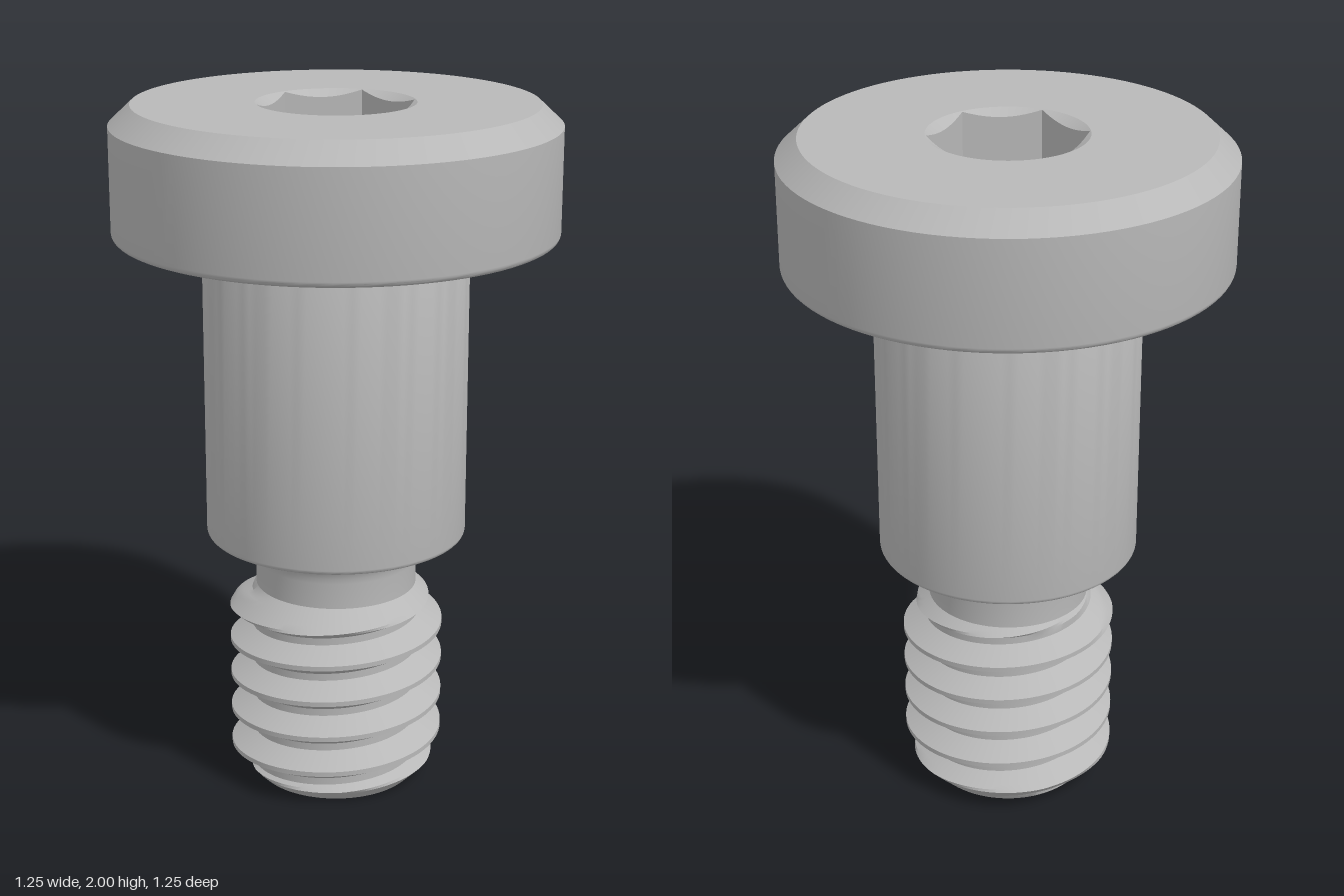
import * as THREE from 'three';
import { toCreasedNormals } from 'three/addons/utils/BufferGeometryUtils.js';

const SEGMENTS = 96;

// Skin swept round the y axis; column(angle) lists [radius, y] and may vary with the angle
function sweep(column, crease = 0.5) {
  const columns = [];
  for (let i = 0; i <= SEGMENTS; i++) {
    const a = (i / SEGMENTS) * Math.PI * 2;
    columns.push(column(a).map(([r, y]) => new THREE.Vector3(r * Math.cos(a), y, -r * Math.sin(a))));
  }
  const positions = [];
  const triangle = (...p) => {
    const area = new THREE.Triangle(...p).getArea();
    if (area > 1e-8) p.forEach((v) => positions.push(v.x, v.y, v.z));
  };
  for (let i = 0; i < SEGMENTS; i++) {
    const left = columns[i], right = columns[i + 1];
    for (let j = 0; j < left.length - 1; j++) {
      triangle(left[j], right[j], right[j + 1]);
      triangle(left[j], right[j + 1], left[j + 1]);
    }
  }
  const geometry = new THREE.BufferGeometry();
  geometry.setAttribute('position', new THREE.Float32BufferAttribute(positions, 3));
  return toCreasedNormals(geometry, crease);
}

// Points on an arc in the profile plane
function arc(cx, cy, radius, from, to, steps = 8) {
  return Array.from({ length: steps + 1 }, (_, i) => {
    const a = from + ((to - from) * i) / steps;
    return [cx + radius * Math.cos(a), cy + radius * Math.sin(a)];
  });
}

export function createModel() {
  const group = new THREE.Group();
  const steel = new THREE.MeshStandardMaterial({ color: 0xb8b8b8 });
  steel.name = 'steel';
  const add = (name, geometry) => {
    const mesh = new THREE.Mesh(geometry, steel);
    mesh.name = name;
    group.add(mesh);
  };
  const { PI } = Math;

  // Helical thread, clipped by a chamfer at each end
  const pitch = 0.1104, crest = 0.311, root = 0.245, threadTop = 0.6, endRadius = 0.233;
  const tooth = [];
  for (let i = 0; i <= 5; i++) tooth.push([root + ((crest - root) * i) / 5, -0.0445 + 0.0075 * i]);
  for (let i = 5; i >= 0; i--) tooth.push([root + ((crest - root) * i) / 5, 0.0445 - 0.0075 * i]);
  add('thread', sweep((a) => {
    const points = [[0, 0]];
    for (let turn = -2; turn <= 6; turn++) {
      for (const [r, dy] of tooth) {
        const y = THREE.MathUtils.clamp(0.0484 + (turn + a / (2 * PI)) * pitch + dy, 0, threadTop);
        points.push([Math.min(r, endRadius + y, endRadius + (threadTop - y) * 1.1), y]);
      }
    }
    return points;
  }));

  // Neck with its fillet, then the shoulder and the undercut below the head
  const shaft = [
    [endRadius, threadTop],
    ...arc(0.315, 0.675, 0.082, PI, PI / 2),
    ...arc(0.36, 0.771, 0.014, -PI / 2, 0, 5),
    [0.374, 1.572],
    ...arc(0.354, 1.572, 0.02, 0, PI / 4, 4),
    [0.353, 1.603],
    ...arc(0.371, 1.615, 0.018, PI, PI / 2, 5),
  ];
  add('shoulder', sweep(() => shaft));

  // Head with a rounded lower edge and a chamfered top
  const head = [
    [0.371, 1.633],
    ...arc(0.605, 1.651, 0.018, -PI / 2, 0, 5),
    [0.623, 1.943],
    [0.562, 2],
    [0.222, 2],
  ];
  add('head', sweep(() => head));

  // Hexagonal socket with a countersunk rim and a flat floor
  const floorY = 1.81;
  add('hexSocket', sweep((a) => {
    const r = 0.19 / Math.cos((a % (PI / 3 + 1e-9)) > PI / 6 ? (a % (PI / 3 + 1e-9)) - PI / 3 : a % (PI / 3 + 1e-9));
    return [[0.222, 2], [r, 2 - (0.222 - r) * 0.6], [r, floorY], [0, floorY]];
  }));

  return group;
}
